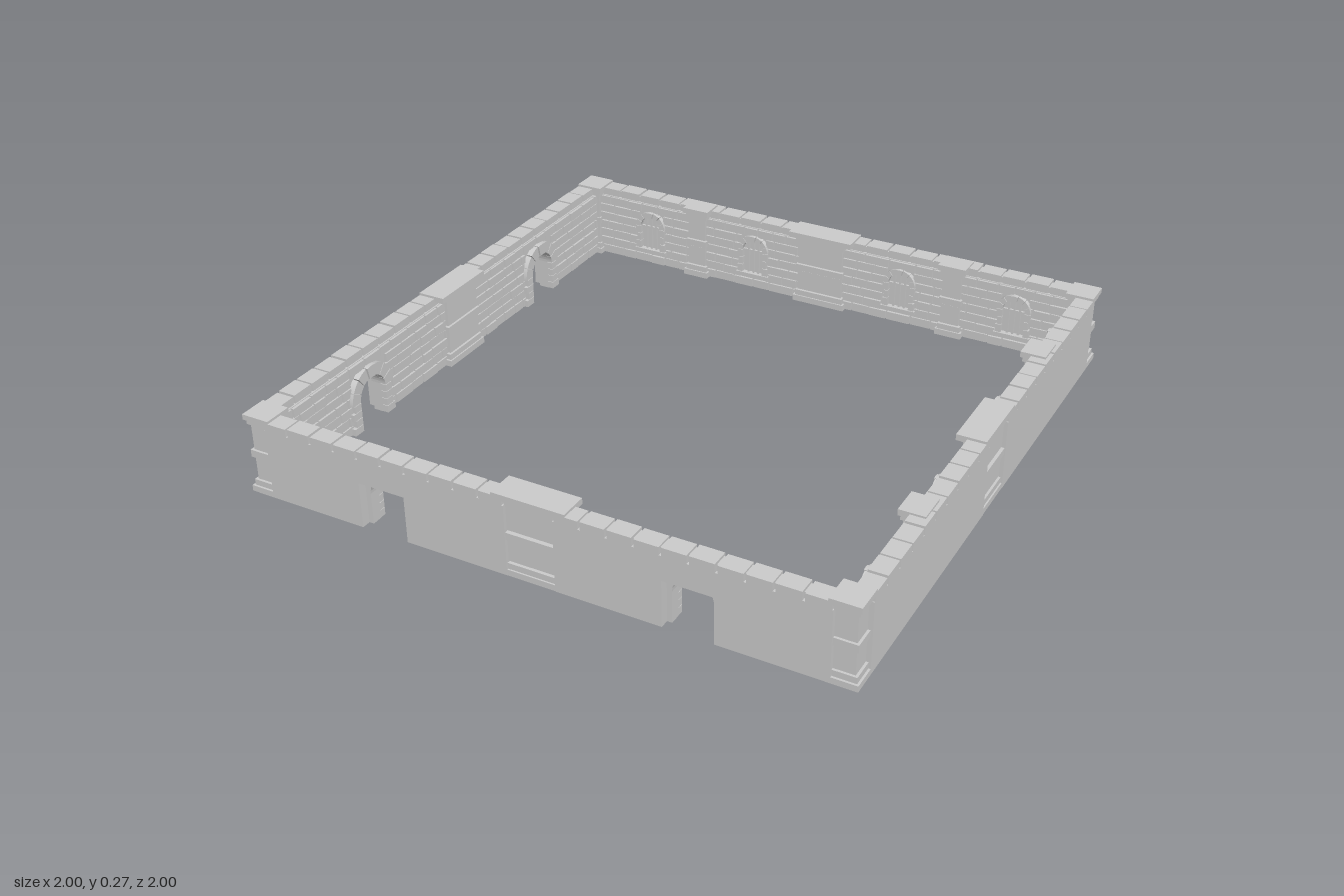
import * as THREE from 'three';
import { mergeGeometries } from 'three/addons/utils/BufferGeometryUtils.js';

const material = new THREE.MeshStandardMaterial({ color: 0xcccccc, flatShading: true });

// Wall coordinates: u along the wall, y up, d inward from the outer face (z = 1 - d)
function box(u0, u1, y0, y1, d0, d1) {
  return new THREE.BoxGeometry(u1 - u0, y1 - y0, d1 - d0)
    .translate((u0 + u1) / 2, (y0 + y1) / 2, 1 - (d0 + d1) / 2).toNonIndexed();
}
function slab(shape, d0, d1) {
  return new THREE.ExtrudeGeometry(shape, { depth: d1 - d0, bevelEnabled: false, curveSegments: 10 })
    .translate(0, 0, 1 - d1);
}
function addMesh(group, name, geometries) {
  if (!geometries.length) return;
  const mesh = new THREE.Mesh(mergeGeometries(geometries), material);
  mesh.name = name;
  group.add(mesh);
}
function seeded(seed) {
  return () => (seed = (seed * 16807) % 2147483647) / 2147483647;
}

const TOP = 0.236, DOOR = { inner: 0.064, outer: 0.105, y0: 0, spring: 0.105 };
const WINDOW = { inner: 0.04, outer: 0.06, y0: 0.06, spring: 0.15 };

// Wall outline with door notches cut up from the ground
function wallShape(u0, u1, doors, arched) {
  const s = new THREE.Shape();
  s.moveTo(u0, 0);
  for (const c of doors.filter((c) => c > u0 && c < u1)) {
    const h = arched ? DOOR.inner : 0.08;
    s.lineTo(c - h, 0);
    if (arched) {
      s.lineTo(c - h, DOOR.spring);
      s.absarc(c, DOOR.spring, h, Math.PI, 0, true);
    } else {
      s.lineTo(c - h, 0.155);
      s.lineTo(c + h, 0.155);
    }
    s.lineTo(c + h, 0);
  }
  s.lineTo(u1, 0);
  s.lineTo(u1, TOP);
  s.lineTo(u0, TOP);
  return s;
}

// Stone jambs and wedge stones around an arch
function archStones(c, { inner, outer, y0, spring }, d0, d1, courses, wedges) {
  const parts = [];
  const h = (spring - y0) / courses;
  for (let i = 0; i < courses; i++) {
    const reach = outer - (i % 2) * (outer - inner) * 0.25;
    const a = y0 + i * h + 0.001, b = y0 + (i + 1) * h - 0.001;
    parts.push(box(c - reach, c - inner, a, b, d0, d1), box(c + inner, c + reach, a, b, d0, d1));
  }
  for (let i = 0; i < wedges; i++) {
    const a = (i / wedges) * Math.PI + 0.015, b = ((i + 1) / wedges) * Math.PI - 0.015;
    const s = new THREE.Shape();
    s.absarc(c, spring, outer, a, b, false);
    s.absarc(c, spring, inner, b, a, true);
    const proud = i === (wedges - 1) / 2 ? 0.004 : 0;
    parts.push(slab(s, d0, d1 + proud));
  }
  return parts;
}

// Brick courses that leave gaps for the given [u0, u1, y0, y1] areas
function bricks(gaps, random) {
  const parts = [], rows = 7, h = TOP / rows;
  for (let r = 0; r < rows; r++) {
    const y0 = r * h + 0.002, y1 = (r + 1) * h - 0.002;
    const cuts = gaps.filter((g) => g[2] < y1 - 0.004 && g[3] > y0 + 0.004);
    let u = -0.93 - random() * 0.04;
    while (u < 0.93) {
      const end = u + 0.05 + random() * 0.05;
      let pieces = [[Math.max(u, -0.93), Math.min(end - 0.005, 0.93)]];
      for (const [a, b] of cuts) {
        pieces = pieces.flatMap(([p, q]) => (q <= a || p >= b ? [[p, q]] : [[p, a], [b, q]]));
      }
      const face = 0.071 + random() * 0.004;
      for (const [p, q] of pieces) if (q - p > 0.008) parts.push(box(p, q, y0, y1, 0.05, face));
      u = end;
    }
  }
  return parts;
}

// Stacked inner pier: plinth, two shaft blocks, bands and cap
function pier(c, shaft, cap, capStart) {
  const layer = (half, y0, y1, d, d0 = 0.05) => box(c - half, c + half, y0, y1, d0, d);
  return [
    layer(shaft + 0.014, 0, 0.022, 0.093), layer(shaft + 0.007, 0.022, 0.042, 0.088),
    layer(shaft, 0.045, 0.118, 0.083), layer(shaft + 0.006, 0.121, 0.145, 0.088),
    layer(shaft, 0.148, 0.232, 0.083), layer(shaft + 0.008, 0.232, 0.25, 0.089),
    layer(cap, 0.25, 0.27, 0.095, capStart),
  ];
}

function buildWall({ name, angle, mid, doors, windows, piers, windowDepth }, seed) {
  const wall = new THREE.Group();
  wall.name = name;
  wall.rotation.y = angle;

  // Core with arched openings, outer skin with square ones and a central panel
  addMesh(wall, 'wallCore', [slab(wallShape(-0.96, 0.96, doors, true), 0.03, 0.065)]);
  addMesh(wall, 'outerFace', [
    slab(wallShape(-0.92, -0.08, doors, false), 0, 0.03),
    slab(wallShape(0.08, 0.92, doors, false), 0, 0.03),
  ]);
  addMesh(wall, 'outerPanel', [
    [0, 0.02, 0.001], [0.02, 0.04, 0.006], [0.044, 0.118, 0.012], [0.121, 0.145, 0.003],
    [0.149, 0.236, 0.012], [0.239, 0.252, 0.004],
  ].map(([y0, y1, d]) => box(-0.08, 0.08, y0, y1, d, 0.04)));

  // Coping stones on both halves
  const coping = [];
  for (const side of [-1, 1]) {
    for (let i = 0; i < 10; i++) {
      const a = side * (0.081 + i * 0.084), b = a + side * 0.084;
      const lift = ((i * 7) % 3) * 0.001;
      coping.push(box(Math.min(a, b) + 0.004, Math.max(a, b) - 0.004, TOP, 0.262 + lift, 0, 0.06));
    }
  }
  coping.push(box(-0.92, 0.92, TOP, 0.256, 0.012, 0.055));
  addMesh(wall, 'copingStones', coping);

  // Brick facing
  const gaps = [
    ...doors.map((c) => [c - 0.09, c + 0.09, 0, 0.19]),
    ...windows.map((c) => [c - 0.05, c + 0.05, 0.05, 0.195]),
  ];
  addMesh(wall, 'brickFacing', bricks(gaps, seeded(seed)));

  // Doorways
  addMesh(wall, 'doorSurrounds', doors.flatMap((c) => archStones(c, DOOR, 0.045, 0.086, 4, 7)));

  // Blind windows with sill, mullions and a crossbar
  addMesh(wall, 'windowSurrounds', windows.flatMap((c) => [
    ...archStones(c, WINDOW, 0.05, windowDepth, 3, 7),
    box(c - 0.065, c + 0.065, 0.045, 0.06, 0.05, windowDepth + 0.003),
  ]));
  addMesh(wall, 'windowBars', windows.flatMap((c) => [
    ...[-0.02, 0, 0.02].map((o) => box(c + o - 0.003, c + o + 0.003, 0.06, o ? 0.184 : 0.19, 0.06, 0.074)),
    box(c - 0.04, c + 0.04, 0.145, 0.151, 0.06, 0.073),
  ]));

  // Piers
  addMesh(wall, 'centrePier', pier(mid, 0.085, 0.12, 0));
  addMesh(wall, 'sidePiers', piers.flatMap((c) => pier(c, 0.034, 0.05, 0.012)));
  return wall;
}

// Corner pillar: square layers, [y0, y1, inner edge, outer edge]
function buildCorner(sx, sz) {
  const layers = [
    [0, 0.02, 0.907, 1], [0.02, 0.04, 0.912, 0.993], [0.04, 0.12, 0.918, 0.985],
    [0.12, 0.145, 0.913, 0.993], [0.145, 0.235, 0.918, 0.985], [0.235, 0.252, 0.911, 0.993],
    [0.252, 0.27, 0.905, 1],
  ];
  const group = new THREE.Group();
  group.name = 'cornerPillar';
  addMesh(group, 'pillarStones', layers.map(([y0, y1, a, b]) =>
    new THREE.BoxGeometry(b - a, y1 - y0, b - a)
      .translate((sx * (a + b)) / 2, (y0 + y1) / 2, (sz * (a + b)) / 2)));
  return group;
}

export function createModel() {
  const model = new THREE.Group();
  model.name = 'walledCourt';
  const walls = [
    { name: 'frontWall', angle: 0, mid: 0, doors: [-0.505, 0.5], windows: [], piers: [] },
    { name: 'rightSideWall', angle: -Math.PI / 2, mid: -0.01, doors: [-0.505, 0.5], windows: [], piers: [] },
    { name: 'backWall', angle: Math.PI, mid: 0, doors: [], piers: [-0.5, 0.5],
      windows: [-0.728, -0.305, 0.27, 0.698], windowDepth: 0.083 },
    { name: 'leftSideWall', angle: Math.PI / 2, mid: 0.012, doors: [], piers: [-0.497, 0.502],
      windows: [-0.755, -0.255, 0.245, 0.745], windowDepth: 0.092 },
  ];
  walls.forEach((w, i) => model.add(buildWall(w, 101 + i * 977)));
  for (const sx of [-1, 1]) for (const sz of [-1, 1]) model.add(buildCorner(sx, sz));
  return model;
}
